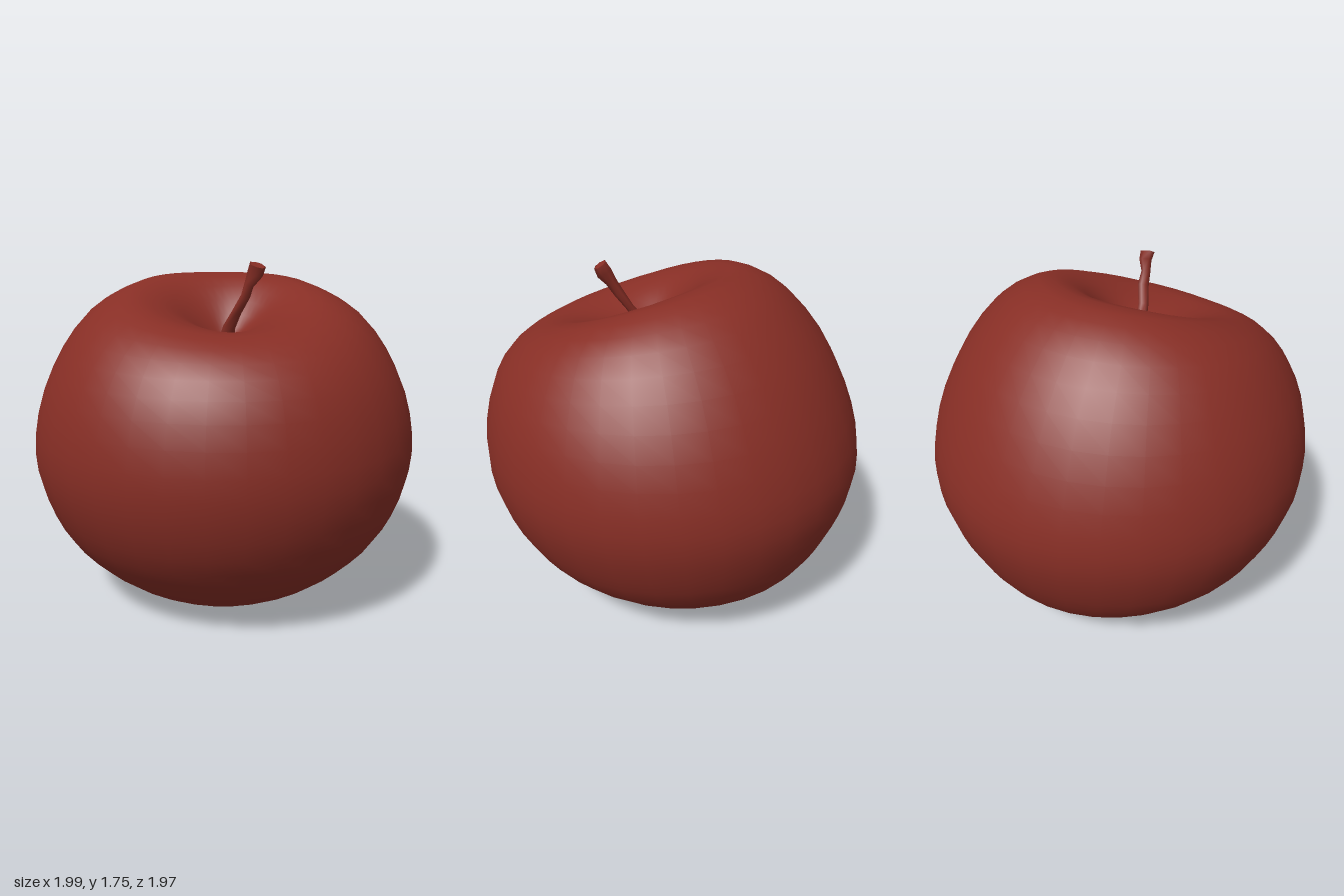
import * as THREE from 'three';

const skin = new THREE.MeshStandardMaterial({ color: 0x87302a });
skin.color.set(0x872e25);
skin.name = 'apple red';
skin.side = THREE.DoubleSide;

// Closed-around surface: at(i, angle) gives the vertex of ring i
function loft(rings, sides, at) {
  const pos = [], idx = [];
  for (let i = 0; i < rings; i++) {
    for (let j = 0; j < sides; j++) {
      pos.push(...at(i, (j / sides) * Math.PI * 2));
      if (i === rings - 1) continue;
      const a = i * sides + j, b = i * sides + ((j + 1) % sides);
      idx.push(a, b, a + sides, b, b + sides, a + sides);
    }
  }
  const geo = new THREE.BufferGeometry();
  geo.setAttribute('position', new THREE.Float32BufferAttribute(pos, 3));
  geo.setIndex(idx);
  geo.computeVertexNormals();
  return geo;
}

// Tilted rings from stem hollow to base hollow: front z, front y, back z, back y, half width
const RINGS = [
  [0.12, 1.34, 0.12, 1.34, 0], [0.17, 1.38, 0.06, 1.38, 0.06],
  [0.26, 1.405, 0.00, 1.49, 0.16], [0.38, 1.425, -0.12, 1.63, 0.28],
  [0.50, 1.432, -0.27, 1.705, 0.41], [0.63, 1.43, -0.43, 1.68, 0.55],
  [0.76, 1.375, -0.585, 1.585, 0.70], [0.875, 1.265, -0.755, 1.395, 0.83],
  [0.95, 1.10, -0.885, 1.16, 0.935], [0.987, 0.88, -0.965, 0.93, 0.99],
  [0.97, 0.68, -0.985, 0.74, 0.99], [0.90, 0.48, -0.95, 0.56, 0.935],
  [0.785, 0.31, -0.885, 0.39, 0.85], [0.63, 0.16, -0.795, 0.23, 0.71],
  [0.46, 0.05, -0.685, 0.11, 0.55], [0.29, 0.003, -0.56, 0.045, 0.39],
  [0.10, 0.015, -0.42, 0.035, 0.24], [-0.05, 0.075, -0.30, 0.08, 0.12],
  [-0.17, 0.115, -0.17, 0.115, 0],
];

function makeBody() {
  const spline = (f) => new THREE.CatmullRomCurve3(RINGS.map(f), false, 'catmullrom', 0.5);
  const front = spline((r) => new THREE.Vector3(r[4], r[1], r[0]));
  const back = spline((r) => new THREE.Vector3(r[4], r[3], r[2]));
  const count = (RINGS.length - 1) * 2 + 1;
  return loft(count, 36, (i, angle) => {
    const t = i / (count - 1), f = front.getPoint(t), b = back.getPoint(t);
    const c = Math.cos(angle), s = Math.sin(angle);
    // The shoulders rise at both sides of the stem hollow, the base dips at both sides of the calyx
    const lift = 0.04 * Math.abs(c) ** 1.4 * Math.max(0, 1 - Math.abs(t - 0.25) / 0.18);
    const dip = 0.02 * c * c * Math.max(0, 1 - Math.abs(t - 0.83) / 0.07);
    const y = (f.y + b.y) / 2 + ((f.y - b.y) / 2) * s + lift - dip;
    return [f.x * c, Math.max(0, y), (f.z + b.z) / 2 + ((f.z - b.z) / 2) * s];
  });
}

// Crooked stem that thickens at its slanted cut end
function makeStem() {
  const path = [
    [0, 1.33, 0.12, 0.045], [0.008, 1.43, 0.17, 0.028], [0.04, 1.51, 0.22, 0.024],
    [0.08, 1.59, 0.262, 0.027], [0.095, 1.65, 0.295, 0.026], [0.122, 1.70, 0.315, 0.037],
    [0.128, 1.738, 0.335, 0.036], [0.128, 1.738, 0.335, 0.034], [0.128, 1.735, 0.333, 0],
  ];
  const axis = new THREE.Vector3(0.12, 0.42, 0.2).normalize();
  const u = new THREE.Vector3(1, 0, 0).addScaledVector(axis, -axis.x).normalize();
  const v = new THREE.Vector3().crossVectors(axis, u);
  // Rings run from the base up, so the angle is reversed to face outward
  return loft(path.length, 7, (i, angle) => {
    const [x, y, z, r] = path[i];
    const k = r * (1 + 0.15 * Math.sin(angle * 2 + Math.min(i, 6) * 1.3));
    return new THREE.Vector3(x, y, z)
      .addScaledVector(u, k * Math.cos(angle)).addScaledVector(v, -k * Math.sin(angle)).toArray();
  });
}

// Dried, crumpled sepal lying in the base hollow
function makeSepal(k) {
  const geo = new THREE.PlaneGeometry(0.11, 0.13, 2, 3);
  const p = geo.attributes.position;
  for (let i = 0; i < p.count; i++) {
    const t = p.getY(i) / 0.13 + 0.5, x = p.getX(i) * (1 - 0.8 * t);
    const y = 0.105 - (0.05 + 0.012 * (k % 3)) * Math.sin(t * 2.4) + Math.abs(x) * 0.3;
    p.setXYZ(i, x + 0.02 * t * Math.sin(k * 2.1), y, 0.01 + (0.11 + 0.02 * (k % 3)) * t);
  }
  geo.computeVertexNormals();
  return geo;
}

export function createModel() {
  const model = new THREE.Group();
  model.name = 'apple';
  const add = (geo, name, parent = model) => {
    const mesh = new THREE.Mesh(geo, skin);
    mesh.name = name;
    parent.add(mesh);
    return mesh;
  };
  add(makeBody(), 'body');
  add(makeStem(), 'stem');

  const calyx = new THREE.Group();
  calyx.name = 'calyx';
  calyx.position.z = -0.17;
  for (let k = 0; k < 5; k++) add(makeSepal(k), 'sepal', calyx).rotation.y = k * 1.257 + 0.2 * (k % 2);
  model.add(calyx);
  return model;
}
